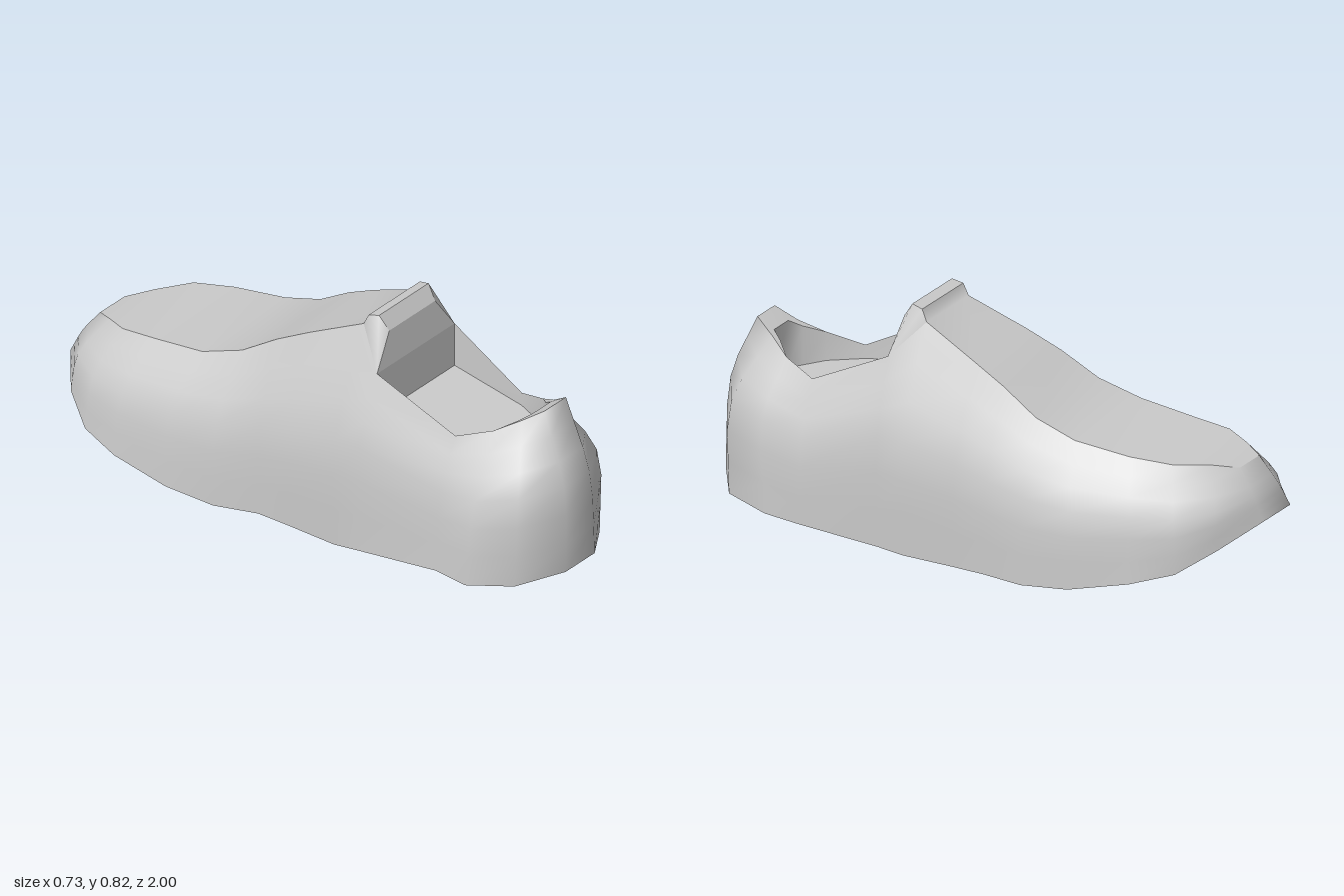
import * as THREE from 'three';

// Stations run from heel to toe; each row is [z, y, left-edge x, right-edge x].
const SOLE = [
  [1, .085, -.075, .08], [.9, .06, -.22, .235], [.74, .035, -.28, .28], [.6, .028, -.255, .295],
  [.3, .01, -.285, .305], [.2, 0, -.29, .31], [0, 0, -.285, .32], [-.12, 0, -.285, .33],
  [-.27, 0, -.335, .355], [-.45, .02, -.36, .36], [-.66, .065, -.365, .32],
  [-.8, .105, -.34, .26], [-.91, .18, -.275, .17], [-1, .25, -.16, .02],
];
const WAIST = [
  [.99, .4, -.07, .065], [.9, .38, -.2, .22], [.76, .35, -.255, .26], [.6, .32, -.235, .285],
  [.3, .4, -.28, .305], [.2, .4, -.285, .31], [0, .36, -.28, .315], [-.12, .33, -.28, .325],
  [-.27, .3, -.32, .34], [-.45, .29, -.335, .35], [-.65, .29, -.335, .3],
  [-.79, .29, -.31, .25], [-.9, .31, -.25, .165], [-.965, .33, -.14, .02],
];
const TOP = [
  [.88, .637, -.035, .08], [.81, .59, -.065, .105], [.73, .545, -.115, .15], [.61, .505, -.165, .19],
  [.31, .65, -.2, .215], [.2, .77, -.13, .15], [0, .68, -.165, .185], [-.12, .62, -.185, .2],
  [-.25, .54, -.205, .215], [-.4, .49, -.225, .22], [-.6, .465, -.22, .205],
  [-.74, .45, -.215, .165], [-.83, .435, -.17, .07], [-.9, .415, -.13, 0],
];
const TONGUE = [[.295, .77, -.115, .13], [.26, .82, -.125, .14], [.22, .81, -.13, .145]];

const left = ([z, y, l]) => new THREE.Vector3(l, y, z);
const right = ([z, y, , r]) => new THREE.Vector3(r, y, z);
// Walks the right edge heel to toe, then the left edge back to the heel
const loop = rows => [...rows.map(right), ...rows.map(left).reverse()];
// Walks the right edge toward the heel, then the left edge forward again
const horseshoe = rows => [...rows.map(right).reverse(), ...rows.map(left)];

export function createModel() {
  const shoe = new THREE.Group();
  const material = new THREE.MeshStandardMaterial({ color: 0xcccccc, side: THREE.DoubleSide });

  const addMesh = (name, points, index) => {
    const geometry = new THREE.BufferGeometry().setFromPoints(points);
    geometry.setIndex(index);
    geometry.computeVertexNormals();
    const mesh = new THREE.Mesh(geometry, material);
    mesh.name = name;
    shoe.add(mesh);
  };

  // Smooth surface through rows of points
  const surface = (name, rows, closed = false) => {
    const n = rows[0].length, index = [];
    for (let i = 0; i < rows.length - 1; i++) {
      for (let j = 0; j < (closed ? n : n - 1); j++) {
        const k = (j + 1) % n, a = i * n, b = a + n;
        index.push(a + j, a + k, b + k, a + j, b + k, b + j);
      }
    }
    addMesh(name, rows.flat(), index);
  };
  const across = rows => rows.map(row => [left(row), right(row)]);

  // Upper: a rounded side curve at every station, from sole to top edge
  const [low, mid, high] = [SOLE, WAIST, TOP].map(loop);
  const curves = low.map((p, i) => new THREE.CatmullRomCurve3([p, mid[i], high[i]]));
  const STEPS = 6;
  const rings = Array.from({ length: STEPS + 1 }, (_, s) => curves.map(c => c.getPoint(s / STEPS)));
  surface('upper', rings, true);

  // Flat underside with toe spring
  surface('sole', SOLE.map(row => [right(row), left(row)]));

  // Flat instep panel and the raised tongue at its rear
  surface('instep', across([TONGUE[2], ...TOP.slice(5)]));
  surface('tongueFront', across([TOP[4], TONGUE[0]]));
  surface('tongueLip', across([TONGUE[0], TONGUE[1]]));
  surface('tongueTop', across([TONGUE[1], TONGUE[2]]));
  const edge = [TOP[4], ...TONGUE, TOP[5]];
  addMesh('tongueSideRight', edge.map(right), [0, 4, 3, 0, 3, 2, 0, 2, 1]);
  addMesh('tongueSideLeft', edge.map(left), [0, 3, 4, 0, 2, 3, 0, 1, 2]);

  // Foot opening: heel rim, inner walls and insole
  const inner = [[.82, .6, -.02, .075], [.785, .575, -.055, .095], ...TOP.slice(2, 5)];
  const floor = inner.map(([z, , l, r]) => [z, .49 - (.31 - z) * -.11, l, r]);
  surface('heelRim', [horseshoe(inner.slice(0, 3)), horseshoe(TOP.slice(0, 3))]);
  surface('innerWall', [horseshoe(floor), horseshoe(inner)]);
  surface('innerFrontWall', across([floor[4], inner[4]]));
  surface('insole', across(floor));

  return shoe;
}
